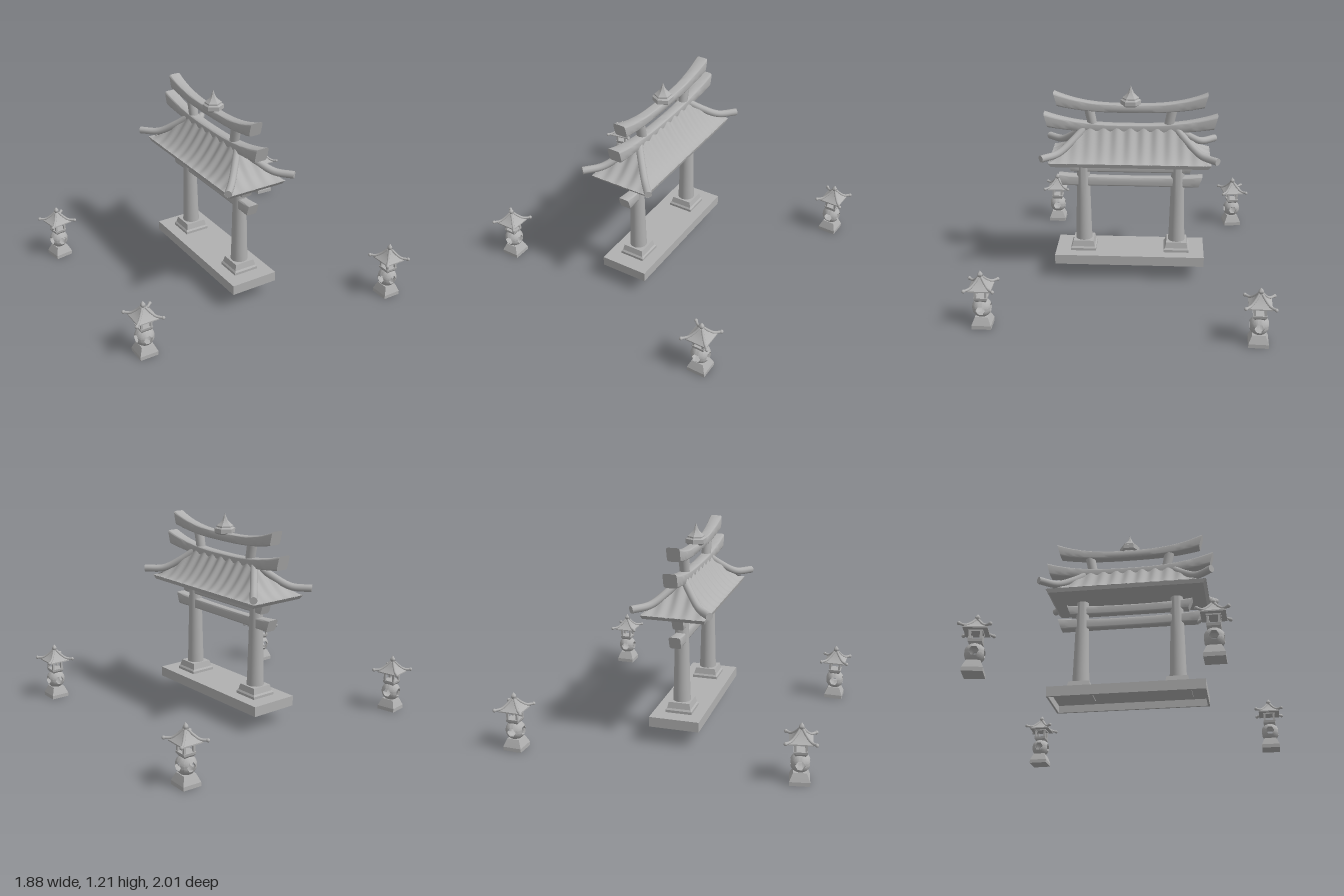
import * as THREE from 'three';
import { toCreasedNormals } from 'three/addons/utils/BufferGeometryUtils.js';

const stone = new THREE.MeshStandardMaterial({ color: 0xb0b0b0, side: THREE.DoubleSide });
stone.name = 'stone grey';

function add(parent, name, geometry, x = 0, y = 0, z = 0) {
  const mesh = new THREE.Mesh(geometry, stone);
  mesh.name = name;
  mesh.position.set(x, y, z);
  parent.add(mesh);
  return mesh;
}

// Surface through a grid of points given by fn(i, j)
function gridSurface(rows, cols, fn) {
  const pos = [], index = [];
  for (let i = 0; i <= rows; i++)
    for (let j = 0; j <= cols; j++) pos.push(...fn(i / rows, j / cols));
  for (let i = 0; i < rows; i++)
    for (let j = 0; j < cols; j++) {
      const a = i * (cols + 1) + j, b = a + cols + 1;
      index.push(a, b, a + 1, b, b + 1, a + 1);
    }
  const g = new THREE.BufferGeometry();
  g.setAttribute('position', new THREE.Float32BufferAttribute(pos, 3));
  g.setIndex(index);
  g.computeVertexNormals();
  return g;
}

// Turned profile; four sides gives a square block whose radii are half widths
function turned(profile, sides = 24, crease = 0.6) {
  const k = sides === 4 ? Math.SQRT2 : 1;
  const pts = profile.map(([r, y]) => new THREE.Vector2(r * k, y));
  const phase = sides === 4 ? Math.PI / 4 : Math.PI / 6;
  return toCreasedNormals(new THREE.LatheGeometry(pts, sides, phase), crease);
}

// Beam along x with rounded-square section, swelling and rising at its ends
function beam(half, width, bottom, height, endHeight, lift, slant) {
  const n = 28, m = 24;
  const soft = v => Math.sign(v) * Math.pow(Math.abs(v), 0.3);
  const point = (u, v, shrink) => {
    const s = u * 2 - 1, rise = Math.pow(Math.abs(s), 2.7), a = v * Math.PI * 2;
    const h = height + (endHeight - height) * rise;
    const w = width * (0.75 + 0.25 * rise);
    const sy = soft(Math.sin(a)) * shrink, sz = soft(Math.cos(a)) * shrink;
    const x = s * (half - slant * (1 - sy) / 2);
    return [x, bottom + lift * rise + h * (1 + sy) / 2, sz * w / 2];
  };
  // First and last rows close the ends
  return toCreasedNormals(gridSurface(n + 2, m, (i, j) => {
    const row = Math.round(i * (n + 2));
    const u = Math.min(1, Math.max(0, (row - 1) / n));
    return point(u, j, row === 0 || row === n + 2 ? 0.001 : 1);
  }), 0.8);
}

// Round pole along a curve with a flat cap at its outer end
function pole(parent, name, points, radius) {
  const curve = new THREE.CatmullRomCurve3(points.map(p => new THREE.Vector3(...p)));
  add(parent, name, new THREE.TubeGeometry(curve, 16, radius, 10));
  const end = add(parent, name + 'End', new THREE.CircleGeometry(radius, 10));
  end.position.copy(curve.getPoint(1));
  end.quaternion.setFromUnitVectors(new THREE.Vector3(0, 0, 1), curve.getTangent(1));
}

function buildRoof(gate) {
  const ridge = 0.27, crest = 0.025, hx = 0.48, hz = 0.185, top = 0.945, eave = 0.772;
  // Tile waves are deep at the ridge and fade towards the eaves
  const panel = (a0, a1, o0, o1) => gridSurface(14, 96, (t, u) => {
    const across = (a0 + (a1 - a0) * t) * (u * 2 - 1);
    const drop = 1 - Math.pow(1 - t, 1.5);
    const wave = (0.011 - 0.009 * t) * Math.cos(across * Math.PI * 2 / 0.08);
    return [across, top - (top - eave) * drop + wave, o0 + (o1 - o0) * t];
  });
  for (let k = 0; k < 4; k++) {
    const g = k % 2 ? panel(crest, hz, ridge, hx) : panel(ridge, hx, crest, hz);
    add(gate, k % 2 ? 'endRoofSlope' : 'longRoofSlope', g).rotation.y = k * Math.PI / 2;
  }
  const board = toCreasedNormals(new THREE.CylinderGeometry(Math.SQRT1_2, 0.68, 0.024, 4, 1, false, Math.PI / 4), 0.3);
  add(gate, 'eaveBoard', board, 0, 0.76, 0).scale.set(2 * hx, 1, 2 * hz);
  for (const sx of [-1, 1]) for (const sz of [-1, 1])
    pole(gate, 'hipPole', [
      [sx * 0.265, 0.95, 0], [sx * 0.34, 0.88, sz * 0.066],
      [sx * 0.425, 0.82, sz * 0.142], [sx * 0.515, 0.813, sz * 0.222]], 0.022);
}

// Thin-walled plinth, open underneath
function buildPlatform(gate) {
  const w = 0.915, d = 0.296, wall = 0.012;
  add(gate, 'platformTop', new THREE.BoxGeometry(w, 0.016, d), 0, 0.152, 0);
  for (const s of [-1, 1]) {
    add(gate, 'platformSide', new THREE.BoxGeometry(w, 0.044, wall), 0, 0.122, s * (d - wall) / 2);
    add(gate, 'platformEnd', new THREE.BoxGeometry(wall, 0.044, d - 2 * wall), s * (w - wall) / 2, 0.122, 0);
  }
}

function buildGate() {
  const gate = new THREE.Group();
  gate.name = 'gate';
  buildPlatform(gate);

  // Columns, their footings and the short struts between the top beams
  const footing = turned([[0, 0.138], [0.078, 0.138], [0.078, 0.175], [0.07, 0.185], [0.062, 0.22], [0, 0.222]], 4, 0.3);
  const column = turned([[0.052, 0.2], [0.048, 0.3], [0.043, 0.5], [0.037, 0.76]]);
  for (const s of [-1, 1]) {
    add(gate, 'footing', footing, s * 0.288, 0, 0);
    add(gate, 'column', column, s * 0.288, 0, 0);
    add(gate, 'strut', new THREE.CylinderGeometry(0.03, 0.028, 0.13, 16), s * 0.236, 1.0, 0).rotation.z = -s * 0.2;
  }

  // Cross beams
  add(gate, 'lowerTieBeam', beam(0.438, 0.068, 0.573, 0.058, 0.072, 0.001, 0.025));
  add(gate, 'upperTieBeam', beam(0.384, 0.066, 0.663, 0.054, 0.066, 0.003, 0.025));
  add(gate, 'lowerTopBeam', beam(0.518, 0.08, 0.915, 0.052, 0.085, 0.032, 0.022));
  add(gate, 'upperTopBeam', beam(0.457, 0.077, 1.04, 0.05, 0.083, 0.038, 0.022));
  buildRoof(gate);

  // Small six-sided finial
  add(gate, 'finial', turned([[0.05, 1.08], [0.062, 1.09], [0.062, 1.115], [0.05, 1.122], [0.05, 1.13],
    [0.032, 1.145], [0.018, 1.16], [0.009, 1.18], [0, 1.205]], 6, 0.5));
  gate.position.set(-0.062, 0, 0.046);
  gate.rotation.y = -0.15;
  return gate;
}

// Quarter of a hollow ball with a six-sided hole and its inner wall
function ballQuarter() {
  const R = 0.056;
  return toCreasedNormals(gridSurface(5, 48, (i, j) => {
    const row = Math.round(i * 5), a = -j * Math.PI * 2;
    const c = Math.cos(a), s = Math.sin(a);
    const sector = Math.PI / 3;
    const local = ((a % sector) + sector) % sector - sector / 2;
    const hole = 0.5 * Math.cos(sector / 2) / Math.cos(local);
    const edge = 1 / Math.max(Math.abs(c) / (Math.PI / 4), Math.abs(s) / 1.1);
    const t = Math.max(0, row - 1) / 4;
    const d = hole + (edge - hole) * t;
    const lon = c * d, lat = s * d, depth = row === 0 ? 0.72 : 1;
    return [R * Math.sin(lon) * Math.cos(lat), R * Math.sin(lat),
      R * depth * Math.cos(lon) * Math.cos(lat)];
  }), 0.7);
}

function buildLantern() {
  const lantern = new THREE.Group();
  lantern.name = 'lantern';
  add(lantern, 'base', turned([[0, 0], [0.055, 0], [0.055, 0.022], [0.046, 0.045], [0.036, 0.068], [0, 0.07]], 4, 0.3));
  const quarter = ballQuarter();
  for (let k = 0; k < 4; k++)
    add(lantern, 'piercedBall', quarter, 0, 0.115, 0).rotation.y = k * Math.PI / 2;
  add(lantern, 'shelf', turned([[0, 0.158], [0.026, 0.158], [0.036, 0.172], [0.038, 0.186], [0, 0.186]], 4, 0.3));

  // Open light chamber
  for (const sx of [-1, 1]) for (const sz of [-1, 1])
    add(lantern, 'chamberPost', new THREE.BoxGeometry(0.012, 0.06, 0.012), sx * 0.029, 0.212, sz * 0.029);
  add(lantern, 'chamberTop', new THREE.BoxGeometry(0.076, 0.014, 0.076), 0, 0.235, 0);

  // Swept roof with corner poles and a pointed knob
  add(lantern, 'lanternRoof', turned([[0, 0.236], [0.064, 0.236], [0.064, 0.243], [0.046, 0.257],
    [0.028, 0.276], [0.012, 0.3], [0, 0.306]], 4, 0.3));
  for (const sx of [-1, 1]) for (const sz of [-1, 1]) {
    const at = (r, y) => [sx * r, y, sz * r];
    pole(lantern, 'cornerPole', [at(0.008, 0.304), at(0.028, 0.276), at(0.052, 0.254), at(0.082, 0.251)], 0.0075);
    add(lantern, 'poleTip', new THREE.SphereGeometry(0.0105, 10, 8), sx * 0.08, 0.251, sz * 0.08);
  }
  add(lantern, 'knob', turned([[0.009, 0.296], [0.009, 0.306], [0.015, 0.314], [0.014, 0.322], [0.007, 0.332], [0, 0.341]], 12, 1));
  return lantern;
}

export function createModel() {
  const model = new THREE.Group();
  model.name = 'shrineGate';
  model.add(buildGate());
  const spots = [[-0.66, -0.905, -0.19], [0.838, -0.56, -0.16], [-0.85, 0.7, 0.02], [0.362, 0.9, -0.16]];
  for (const [x, z, turn] of spots) {
    const lantern = buildLantern();
    lantern.position.set(x, 0, z);
    lantern.rotation.y = turn;
    model.add(lantern);
  }
  return model;
}
